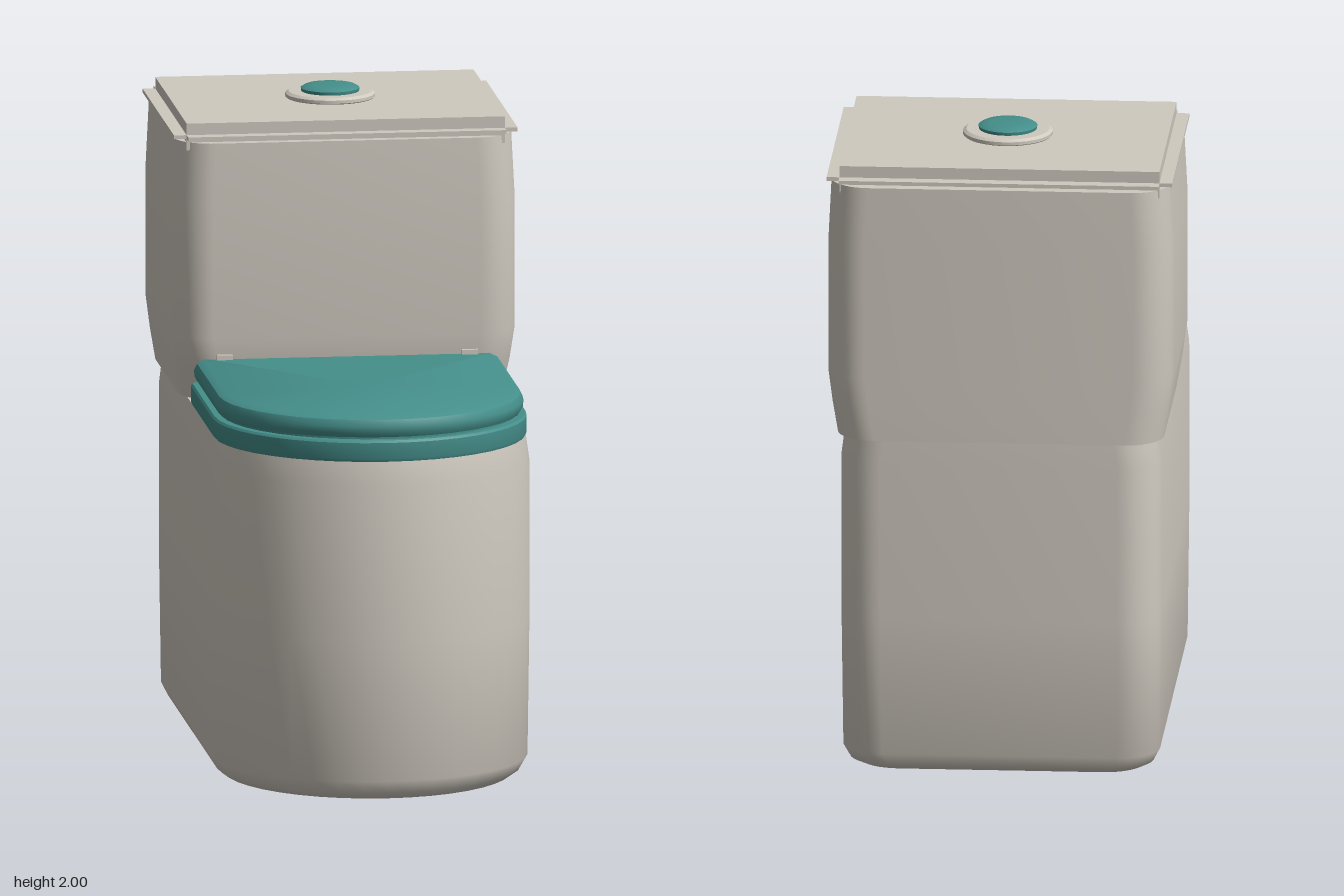
import * as THREE from 'three';
import { toCreasedNormals } from 'three/addons/utils/BufferGeometryUtils.js';

// Rounded plan outline: front corners rx by rz, back corners of radius rb
function outline({ w, back, front, rx, rz, rb }, n = 10) {
  const corners = [
    [w - rx, front - rz, rx, rz], [rx - w, front - rz, rx, rz],
    [rb - w, back + rb, rb, rb], [w - rb, back + rb, rb, rb],
  ];
  const points = [];
  corners.forEach(([cx, cz, a, b], q) => {
    for (let i = 0; i <= n; i++) {
      const t = (q + i / n) * Math.PI / 2;
      points.push([cx + a * Math.cos(t), cz + b * Math.sin(t)]);
    }
  });
  return points;
}

// Closed solid through a stack of outlines, capped at both ends
function loft(sections, crease = 0.6) {
  const positions = [], index = [];
  const rings = sections.map(s => outline(s));
  const n = rings[0].length;
  rings.forEach((ring, k) => ring.forEach(([x, z]) => positions.push(x, sections[k].y, z)));
  for (let k = 0; k < rings.length - 1; k++) {
    for (let i = 0; i < n; i++) {
      const j = (i + 1) % n, a = k * n + i, b = k * n + j;
      index.push(a, a + n, b + n, a, b + n, b);
    }
  }
  [0, rings.length - 1].forEach((k, top) => {
    const c = positions.length / 3, s = sections[k];
    positions.push(0, s.y, (s.back + s.front) / 2);
    for (let i = 0; i < n; i++) {
      const a = k * n + i, b = k * n + (i + 1) % n;
      index.push(c, ...(top ? [b, a] : [a, b]));
    }
  });
  const g = new THREE.BufferGeometry();
  g.setAttribute('position', new THREE.Float32BufferAttribute(positions, 3));
  g.setIndex(index);
  return toCreasedNormals(g, crease);
}

export function createModel() {
  const model = new THREE.Group();
  const ceramic = new THREE.MeshStandardMaterial({ color: 0xcfc9bf });
  ceramic.name = 'warm grey ceramic';
  const teal = new THREE.MeshStandardMaterial({ color: 0x458f8b });
  teal.name = 'teal plastic';

  const add = (name, geometry, material, x = 0, y = 0, z = 0) => {
    const mesh = new THREE.Mesh(geometry, material);
    mesh.name = name;
    mesh.position.set(x, y, z);
    model.add(mesh);
  };

  // Pedestal: round front, softly rounded back corners
  const body = (y, w, back, front) => ({ y, w, back, front, rx: w, rz: 0.48, rb: 0.13 });
  add('pedestal', loft([
    body(0, 0.45, -0.88, 0.905), body(0.02, 0.475, -0.915, 0.925),
    body(0.06, 0.495, -0.93, 0.94), body(0.5, 0.5, -0.943, 0.95),
    body(1.0, 0.5, -0.945, 0.945), body(1.08, 0.49, -0.945, 0.93),
  ], 0.8), ceramic);

  // Cistern: bulges slightly at mid height
  const tank = (y, w, front, r) => ({ y, w, back: -0.945, front, rx: r, rz: r, rb: 0.12 });
  add('cistern', loft([
    tank(1.08, 0.51, -0.12, 0.14), tank(1.18, 0.527, -0.095, 0.13),
    tank(1.28, 0.54, -0.087, 0.12), tank(1.7, 0.54, -0.085, 0.12),
    tank(1.9, 0.53, -0.09, 0.12),
  ]), ceramic);

  // Cistern cover: thick slab with thin lips on each side
  add('coverSlab', new THREE.BoxGeometry(1, 0.085, 0.79), ceramic, 0, 1.9175, -0.515);
  add('coverSideLips', new THREE.BoxGeometry(1.08, 0.012, 0.79), ceramic, 0, 1.9175, -0.515);
  add('coverEndLips', new THREE.BoxGeometry(1, 0.012, 0.87), ceramic, 0, 1.9175, -0.515);

  // Seat and closed lid, with a groove between them
  const pad = (y, inset) => ({
    y, w: 0.492 - inset, back: -0.11, front: 0.945 - inset,
    rx: 0.492 - inset, rz: 0.48 - inset, rb: 0.03,
  });
  add('seat', loft([pad(1.075, 0.004), pad(1.085, 0), pad(1.135, 0), pad(1.142, 0.006)]), teal);
  add('seatGap', loft([pad(1.14, 0.03), pad(1.157, 0.03)]), teal);
  add('lid', loft([
    pad(1.15, 0.02), pad(1.165, 0.012), pad(1.185, 0.01), pad(1.205, 0.02), pad(1.215, 0.04),
  ]), teal);

  // Hinge stubs behind the lid
  for (const side of [-1, 1]) {
    add(side > 0 ? 'leftHinge' : 'rightHinge',
      new THREE.BoxGeometry(0.05, 0.06, 0.03), ceramic, side * 0.385, 1.2, -0.09);
  }

  // Flush button in its collar
  const turned = (points) => toCreasedNormals(
    new THREE.LatheGeometry(points.map(p => new THREE.Vector2(...p)), 40), 0.5);
  add('buttonCollar', turned([[0.13, 1.955], [0.14, 1.963], [0.14, 1.973], [0.13, 1.98], [0, 1.98]]),
    ceramic, 0, 0, -0.515);
  add('flushButton', turned([[0.09, 1.978], [0.092, 1.99], [0.08, 1.997], [0.05, 2], [0, 2]]),
    teal, 0, 0, -0.515);

  return model;
}
